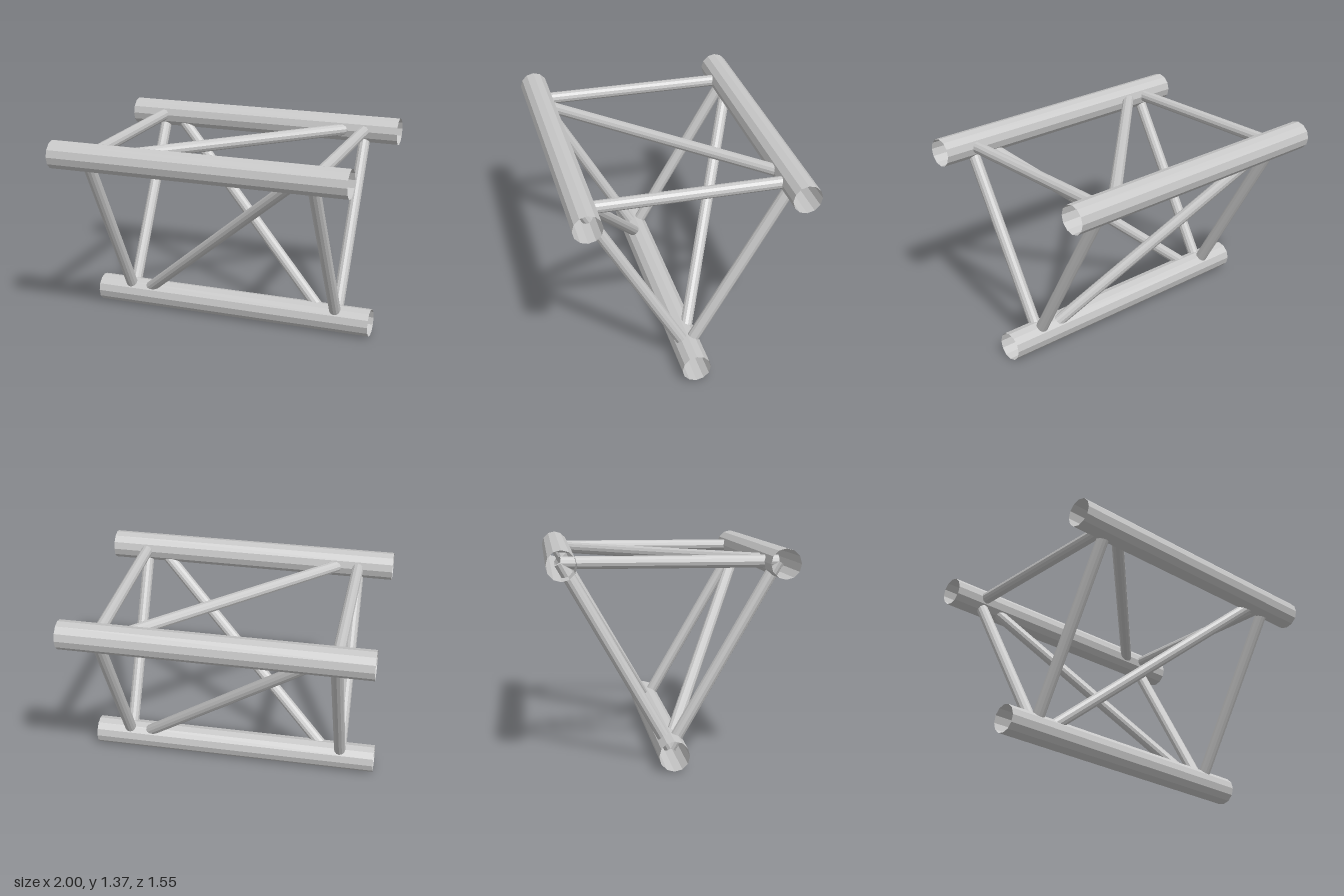
import * as THREE from 'three';

const CHORD_RADIUS = 0.095;
const BRACE_RADIUS = 0.04;
const SIDES = 12;

export function createModel() {
  const group = new THREE.Group();
  group.name = 'triangularTruss';

  // Open-ended tubes, visible inside and out
  const metal = new THREE.MeshStandardMaterial({
    color: 0xc8c8c8, flatShading: true, side: THREE.DoubleSide,
  });
  metal.name = 'light grey metal';

  // Straight tube between two points
  function tube(name, from, to, radius) {
    const a = new THREE.Vector3(...from);
    const b = new THREE.Vector3(...to);
    const dir = b.clone().sub(a);
    const geometry = new THREE.CylinderGeometry(radius, radius, dir.length(), SIDES, 1, true);
    const mesh = new THREE.Mesh(geometry, metal);
    mesh.name = name;
    mesh.position.copy(a).add(b).multiplyScalar(0.5);
    mesh.quaternion.setFromUnitVectors(new THREE.Vector3(0, 1, 0), dir.normalize());
    group.add(mesh);
  }

  // Chord axes in the y/z plane
  const chords = {
    bottom: [0.095, 0],
    front: [1.273, 0.68],
    back: [1.273, -0.68],
  };
  const at = (chord, x) => [x, ...chords[chord]];

  // Three long main chords
  for (const name of Object.keys(chords)) {
    tube(`${name}Chord`, at(name, -1), at(name, 1), CHORD_RADIUS);
  }

  // Triangular frames near both ends
  for (const [side, x] of [['right', -0.76], ['left', 0.76]]) {
    tube(`${side}FrontStrut`, at('bottom', x), at('front', x), BRACE_RADIUS);
    tube(`${side}BackStrut`, at('bottom', x), at('back', x), BRACE_RADIUS);
    tube(`${side}TopStrut`, at('back', x), at('front', x), BRACE_RADIUS);
  }

  // One diagonal brace on each face
  const d = 0.68;
  tube('frontDiagonal', at('bottom', -d), at('front', d), BRACE_RADIUS);
  tube('backDiagonal', at('bottom', d), at('back', -d), BRACE_RADIUS);
  tube('topDiagonal', at('front', -d), at('back', d), BRACE_RADIUS);

  return group;
}
